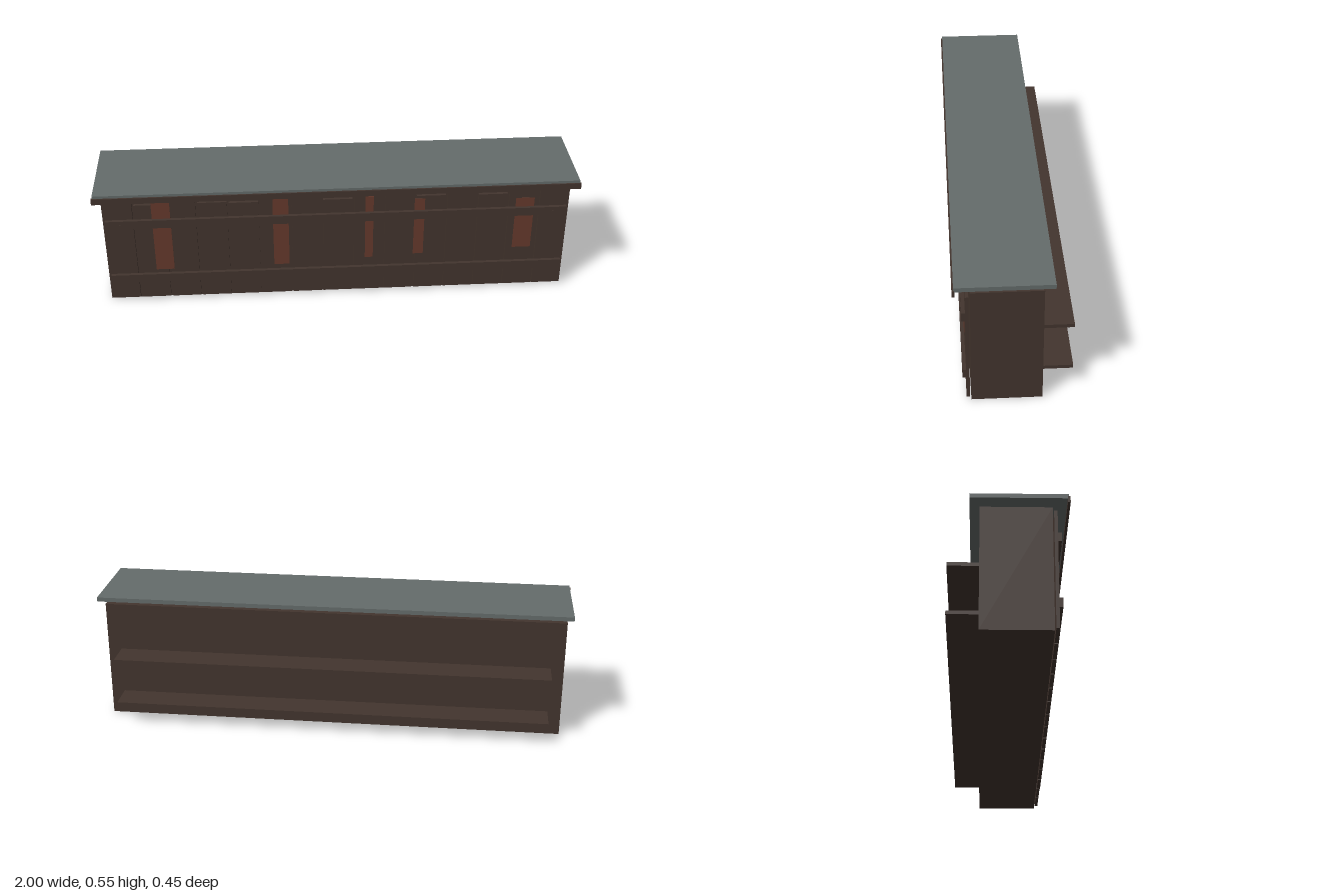
import * as THREE from 'three';

export function createModel() {
  const group = new THREE.Group();
  group.name = 'counter';
  const wood = new THREE.MeshStandardMaterial({ color: 0x43352e });
  wood.name = 'dark wood';
  const slate = new THREE.MeshStandardMaterial({ color: 0x656c6b });
  slate.name = 'grey slate';
  const rust = new THREE.MeshStandardMaterial({ color: 0x673a2d });
  rust.name = 'rust stain';

  // Box given by its lower and upper limits on each axis
  const box = (name, material, [x0, x1], [y0, y1], [z0, z1]) => {
    const mesh = new THREE.Mesh(new THREE.BoxGeometry(x1 - x0, y1 - y0, z1 - z0), material);
    mesh.position.set((x0 + x1) / 2, (y0 + y1) / 2, (z0 + z1) / 2);
    mesh.name = name;
    group.add(mesh);
  };

  // Cabinet, floating top and its front lip
  box('body', wood, [-0.972, 0.972], [0, 0.51], [-0.107, 0.163]);
  box('counterTop', slate, [-0.995, 0.995], [0.535, 0.553], [-0.145, 0.222]);
  box('frontLip', wood, [-1, 1], [0.516, 0.542], [0.218, 0.228]);

  // Shelves on the back
  for (const y of [0.09, 0.29]) box('shelf', wood, [-0.917, 0.917], [y, y + 0.015], [-0.227, -0.107]);

  // Uneven upright planks on the front
  const tops = [0.498, 0.477, 0.5, 0.48, 0.475, 0.492, 0.495, 0.475, 0.493, 0.492, 0.478, 0.49, 0.475, 0.495, 0.488];
  const pitch = 1.944 / tops.length;
  tops.forEach((top, i) => {
    const x = -0.972 + i * pitch;
    box('plank', wood, [x + 0.004, x + pitch - 0.004], [0.012, top], [0.168, 0.181]);
  });

  // Rails across the planks, the upper one with small pegs
  for (const y of [0.1, 0.372]) box('rail', wood, [-0.96, 0.96], [y, y + 0.038], [0.181, 0.195]);
  for (const x of [-0.9, 0.9]) box('peg', wood, [x - 0.003, x + 0.003], [0.388, 0.393], [0.195, 0.2]);

  // Rust-coloured stains
  const stains = [
    [-0.768, -0.692, 0.155, 0.498], [-0.27, -0.205, 0.16, 0.493], [0.115, 0.149, 0.18, 0.485],
    [0.32, 0.363, 0.19, 0.465], [0.745, 0.823, 0.205, 0.452],
  ];
  for (const [x0, x1, y0, y1] of stains) box('stain', rust, [x0, x1], [y0, y1], [0.1805, 0.183]);

  return group;
}
